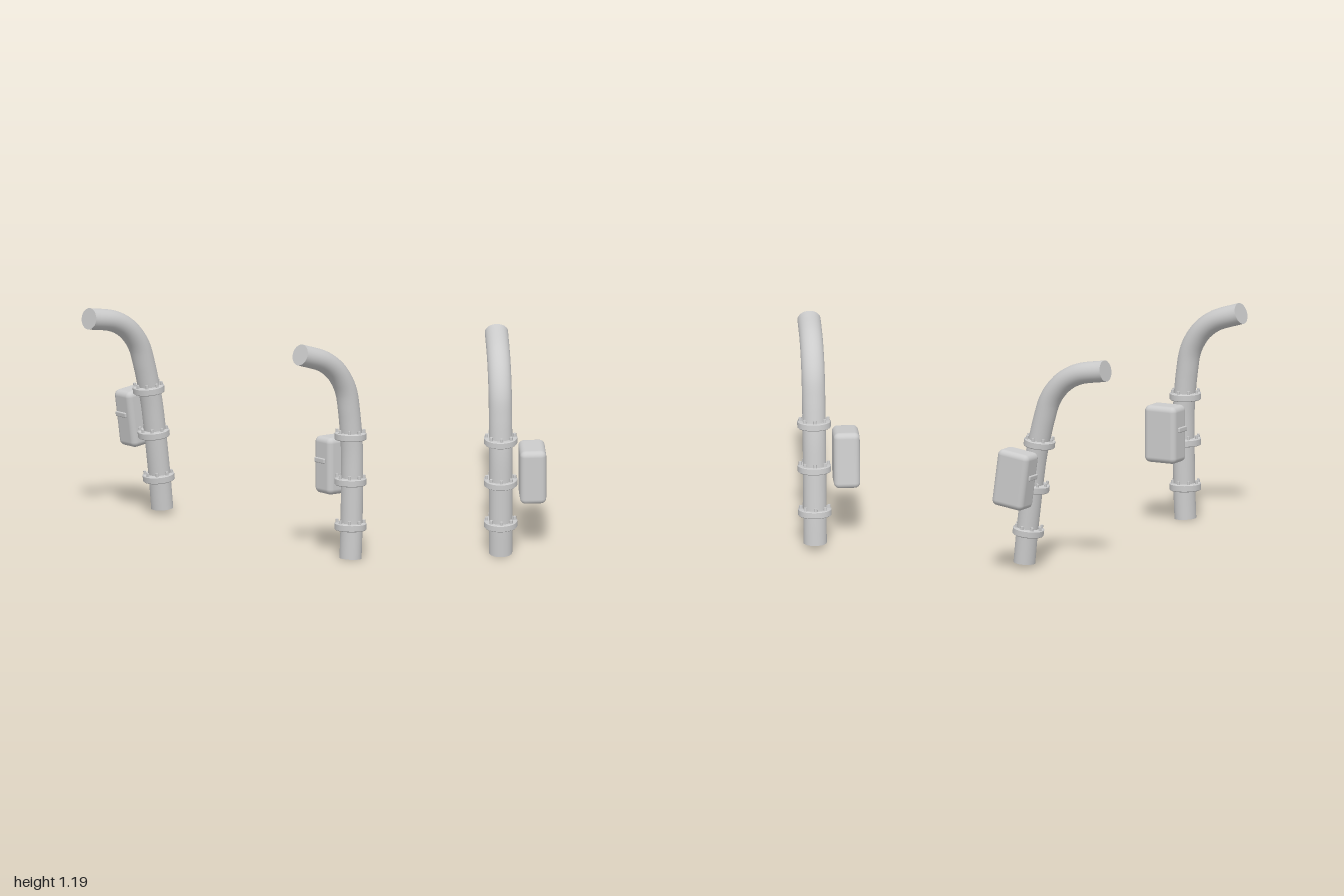
import * as THREE from 'three';
import { RoundedBoxGeometry } from 'three/addons/geometries/RoundedBoxGeometry.js';

const grey = new THREE.MeshStandardMaterial({ color: 0xcccccc });
const PIPE_R = 0.057;

function part(name, geometry, parent, x = 0, y = 0, z = 0) {
  const mesh = new THREE.Mesh(geometry, grey);
  mesh.name = name;
  mesh.position.set(x, y, z);
  parent.add(mesh);
  return mesh;
}

// Bent pipe with flat ends; its base sits at the origin
function addPipe(parent) {
  const path = new THREE.CatmullRomCurve3([
    [0, 0], [0.006, 0.15], [0.009, 0.3], [0.011, 0.45], [0.01, 0.58], [0.001, 0.7], [-0.009, 0.79],
    [-0.028, 0.9], [-0.057, 0.965], [-0.107, 1.03], [-0.185, 1.085], [-0.34, 1.137],
  ].map(([x, y]) => new THREE.Vector3(x, y, 0)));
  part('pipe', new THREE.TubeGeometry(path, 64, PIPE_R, 32), parent);
  for (const [t, sign] of [[0, -1], [1, 1]]) {
    const p = path.getPointAt(t);
    const cap = part('pipeEnd', new THREE.CircleGeometry(PIPE_R, 32), parent, p.x, p.y, p.z);
    cap.quaternion.setFromUnitVectors(new THREE.Vector3(0, 0, 1), path.getTangentAt(t).multiplyScalar(sign));
  }
}

// Flange ring with a circle of eight bolts on top
function addFlange(parent, y) {
  const flange = new THREE.Group();
  flange.name = 'flange';
  flange.position.y = y;
  const r = 0.082, h = 0.038, b = 0.004;
  const profile = [[0.03, 0], [r - b, 0], [r - b, 0], [r, b], [r, b], [r, h - b], [r, h - b],
    [r - b, h], [r - b, h], [0.03, h]];
  part('flangeRing', new THREE.LatheGeometry(profile.map(p => new THREE.Vector2(...p)), 40), flange);
  for (let i = 0; i < 8; i++) {
    const a = i * Math.PI / 4;
    part('bolt', new THREE.CylinderGeometry(0.0075, 0.0085, 0.024, 10), flange,
      0.069 * Math.cos(a), h + 0.006, 0.069 * Math.sin(a));
  }
  parent.add(flange);
}

// Complete pipe assembly with the cabinet standing behind it
function makeAssembly(name) {
  const assembly = new THREE.Group();
  assembly.name = name;
  const pipework = new THREE.Group();
  pipework.name = 'pipework';
  pipework.scale.z = 1.09; // slightly oval section
  addPipe(pipework);
  for (const y of [0.154, 0.397, 0.642]) addFlange(pipework, y);
  assembly.add(pipework);

  const cabinet = new THREE.Group();
  cabinet.name = 'cabinet';
  cabinet.position.set(0.03, 0.483, -0.167);
  part('cabinetBody', new RoundedBoxGeometry(0.19, 0.307, 0.14, 5, 0.03), cabinet);
  part('handle', new RoundedBoxGeometry(0.013, 0.028, 0.085, 3, 0.006), cabinet, -0.106, 0.03, 0);
  part('handleStem', new THREE.BoxGeometry(0.02, 0.016, 0.02), cabinet, -0.095, 0.03, 0);
  assembly.add(cabinet);
  return assembly;
}

export function createModel() {
  const model = new THREE.Group();
  model.name = 'pipes';

  const front = makeAssembly('frontPipe');
  front.position.set(0.173, 0, 0.911);

  // Rear assembly leans over sideways
  const rear = makeAssembly('rearPipe');
  rear.position.set(0.212, 0.024, -0.763);
  rear.rotation.z = THREE.MathUtils.degToRad(8);

  model.add(front, rear);
  return model;
}
